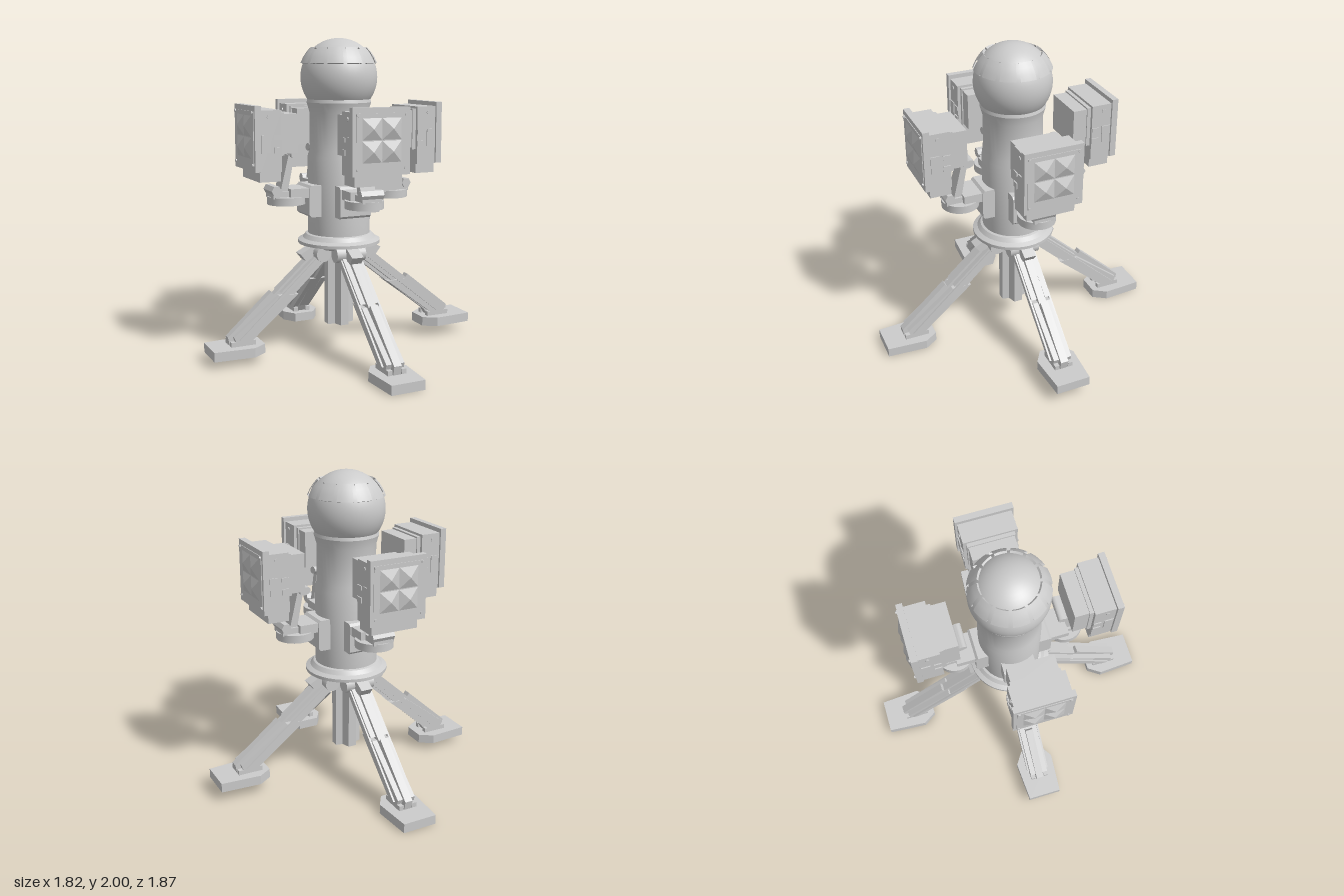
import * as THREE from 'three';
import { toCreasedNormals } from 'three/addons/utils/BufferGeometryUtils.js';

const grey = new THREE.MeshStandardMaterial({ color: 0xcccccc, side: THREE.DoubleSide });

function add(parent, name, geo, x = 0, y = 0, z = 0) {
  const mesh = new THREE.Mesh(geo, grey);
  mesh.name = name;
  mesh.position.set(x, y, z);
  parent.add(mesh);
  return mesh;
}
// Box given by width and by its ranges in y and z
function box(parent, name, w, y0, y1, z0, z1, x = 0) {
  return add(parent, name, new THREE.BoxGeometry(w, y1 - y0, z1 - z0), x, (y0 + y1) / 2, (z0 + z1) / 2);
}
// Cylinder lying along x
function axle(parent, name, r, len, x, y, z, sides = 16) {
  const geo = toCreasedNormals(new THREE.CylinderGeometry(r, r, len, sides).rotateZ(Math.PI / 2), 0.6);
  return add(parent, name, geo, x, y, z);
}
const shapeOf = pts => new THREE.Shape(pts.map(p => new THREE.Vector2(...p)));
// Side profile (outward, up) extruded to a width across x
function slab(parent, name, pts, w, x = 0) {
  const geo = new THREE.ExtrudeGeometry(shapeOf(pts), { depth: w, bevelEnabled: false });
  return add(parent, name, geo.translate(0, 0, -w / 2).rotateY(-Math.PI / 2), x);
}
function lathe(pts, segs, start = 0, len = Math.PI * 2) {
  return toCreasedNormals(new THREE.LatheGeometry(pts.map(p => new THREE.Vector2(...p)), segs, start, len), 0.4);
}

function buildTower(root) {
  add(root, 'column', lathe([[0, 0.67], [0.17, 0.67], [0.2, 0.69], [0.265, 0.7], [0.265, 0.72], [0.235, 0.735],
    [0.215, 0.76], [0.2, 0.765], [0.2, 1.26], [0.188, 1.3], [0.188, 1.54], [0.205, 1.6], [0.195, 1.64]], 40));
  add(root, 'dome', new THREE.SphereGeometry(0.243, 40, 28), 0, 1.757, 0);

  // Ring of raised plates around the dome
  const plate = [];
  const arc = (r, t) => plate.push([r * Math.sin(t), 1.757 + r * Math.cos(t)]);
  arc(0.235, 1.22);
  [1.22, 1.07, 0.92, 0.77].forEach(t => arc(0.257, t));
  arc(0.235, 0.77);
  const count = 12, step = Math.PI * 2 / count;
  for (let i = 0; i < count; i++)
    add(root, 'domePlate', lathe(plate, 4, (i - 0.4) * step, step * 0.8));

  // Finned post hanging under the column
  const a = 0.09, b = 0.028, c = 0.045;
  const cross = [];
  for (let i = 0; i < 4; i++) {
    const s = Math.sin(i * Math.PI / 2), k = Math.cos(i * Math.PI / 2);
    for (const [x, y] of [[a, -b], [a, b], [c, c * 0.8]]) cross.push([x * k - y * s, x * s + y * k]);
  }
  const post = new THREE.ExtrudeGeometry(shapeOf(cross), { depth: 0.53, bevelEnabled: false });
  add(root, 'centrePost', post.rotateX(-Math.PI / 2), 0, 0.16, 0);
}

// dy and du shift the lower end of the leg
function buildLeg(parent, dy, du) {
  const leg = new THREE.Group();
  leg.name = 'leg';
  parent.add(leg);
  const low = (u, y) => [u + du, y + dy];
  const mid = (u, y) => [u + du / 2, y + dy / 2];
  slab(leg, 'legCore', [[0.117, 0.58], low(0.63, 0.175), low(0.66, 0.13), low(0.8, 0.13), low(0.81, 0.185),
    mid(0.5, 0.434), mid(0.485, 0.413), [0.19, 0.65]], 0.05);
  // Side fins
  for (const s of [-1, 1]) {
    slab(leg, 'legUpperFin', [[0.125, 0.6], mid(0.36, 0.412), mid(0.45, 0.43), [0.18, 0.64]], 0.035, s * 0.047);
    slab(leg, 'legLowerFin', [mid(0.33, 0.41), low(0.66, 0.16), low(0.77, 0.16), low(0.78, 0.19), mid(0.46, 0.41)],
      0.04, s * 0.04);
    slab(leg, 'legRib', [[0.14, 0.62], low(0.7, 0.17), low(0.75, 0.17), [0.17, 0.635]], 0.012, s * 0.068);
    box(leg, 'ankleCheek', 0.03, 0.12 + dy, 0.16 + dy, 0.64 + du, 0.8 + du, s * 0.045);
  }
  axle(leg, 'legHinge', 0.05, 0.2, 0, 0.645, 0.15);
  slab(leg, 'legTopBlock', [[0.15, 0.63], [0.25, 0.6], [0.285, 0.645], [0.2, 0.69]], 0.08);

  // Foot plate, tapered outward with cut inner corners
  const foot = shapeOf([[-0.11, -0.937], [0.11, -0.937], [0.127, -0.68], [0.07, -0.595], [-0.07, -0.595], [-0.127, -0.68]]);
  const geo = new THREE.ExtrudeGeometry(foot, { depth: 0.06, bevelEnabled: false }).rotateX(-Math.PI / 2);
  add(leg, 'foot', geo, 0, 0.07 + dy, du * 1.3);
}

function buildArm(parent) {
  const arm = new THREE.Group();
  arm.name = 'arm';
  parent.add(arm);
  slab(arm, 'armBracket', [[0.15, 0.89], [0.235, 0.89], [0.25, 0.905], [0.25, 1.075], [0.235, 1.09], [0.15, 1.09]], 0.21);
  box(arm, 'armBar', 0.19, 1.015, 1.075, 0.24, 0.37);
  const disc = new THREE.CylinderGeometry(0.12, 0.12, 0.05, 28);
  add(arm, 'armDisc', toCreasedNormals(disc, 0.6), 0, 0.998, 0.365);
  box(arm, 'armTip', 0.13, 1.015, 1.06, 0.36, 0.475);
  axle(arm, 'lowerJoint', 0.033, 0.15, 0, 1.065, 0.455, 6);
  slab(arm, 'link', [[0.375, 1.04], [0.425, 1.04], [0.365, 1.285], [0.325, 1.29]], 0.1);
  const joint = axle(arm, 'upperJoint', 0.024, 0.16, 0, 1.29, 0.325);
  joint.scale.z = 1.5;
  joint.rotation.x = 0.35;
}

function buildPanel(parent, offset) {
  const panel = new THREE.Group();
  panel.name = 'panel';
  panel.position.x = offset;
  parent.add(panel);
  box(panel, 'rearHousing', 0.29, 1.305, 1.545, 0.35, 0.47);
  box(panel, 'rearHousingBand', 0.305, 1.295, 1.555, 0.44, 0.47);
  box(panel, 'body', 0.345, 1.2, 1.57, 0.465, 0.6);
  box(panel, 'bodyBase', 0.31, 1.14, 1.2, 0.465, 0.6);
  box(panel, 'facePlate', 0.372, 1.205, 1.597, 0.597, 0.637);
  box(panel, 'faceInset', 0.33, 1.24, 1.565, 0.637, 0.641);

  // Four pyramids and four corner rivets
  const pyramid = new THREE.ConeGeometry(0.125 / Math.SQRT2, 0.024, 4).toNonIndexed();
  pyramid.computeVertexNormals();
  pyramid.rotateY(Math.PI / 4).rotateX(Math.PI / 2);
  const rivet = toCreasedNormals(new THREE.CylinderGeometry(0.009, 0.009, 0.012, 10).rotateX(Math.PI / 2), 0.7);
  for (const sx of [-1, 1]) {
    for (const sy of [-1, 1]) {
      add(panel, 'facePyramid', pyramid, sx * 0.0635, 1.41 + sy * 0.0655, 0.653);
      add(panel, 'rivet', rivet, sx * 0.155, 1.4 + sy * 0.155, 0.642);
    }
    // Side fittings
    const x = sx * 0.173;
    box(panel, 'sideHatch', 0.012, 1.315, 1.425, 0.535, 0.592, x);
    box(panel, 'sideLatch', 0.012, 1.395, 1.42, 0.468, 0.515, x);
    box(panel, 'sideLatch', 0.012, 1.315, 1.35, 0.468, 0.515, x);
    axle(panel, 'sideBolt', 0.013, 0.01, x, 1.53, 0.545, 8);
  }
}

export function createModel() {
  const root = new THREE.Group();
  root.name = 'sensorTower';
  const tower = new THREE.Group();
  tower.name = 'tower';
  tower.position.x = -0.03;
  root.add(tower);
  buildTower(tower);

  // Front, left, back and right sides
  const sides = [
    { name: 'frontSide', dy: -0.07, du: 0, offset: -0.025 },
    { name: 'leftSide', dy: 0, du: 0, offset: -0.02 },
    { name: 'backSide', dy: -0.07, du: 0, offset: 0 },
    { name: 'rightSide', dy: -0.025, du: -0.04, offset: 0.02 },
  ];
  sides.forEach((s, i) => {
    const side = new THREE.Group();
    side.name = s.name;
    side.rotation.y = i * Math.PI / 2;
    tower.add(side);
    buildLeg(side, s.dy, s.du);
    buildArm(side);
    buildPanel(side, s.offset);
  });
  return root;
}
